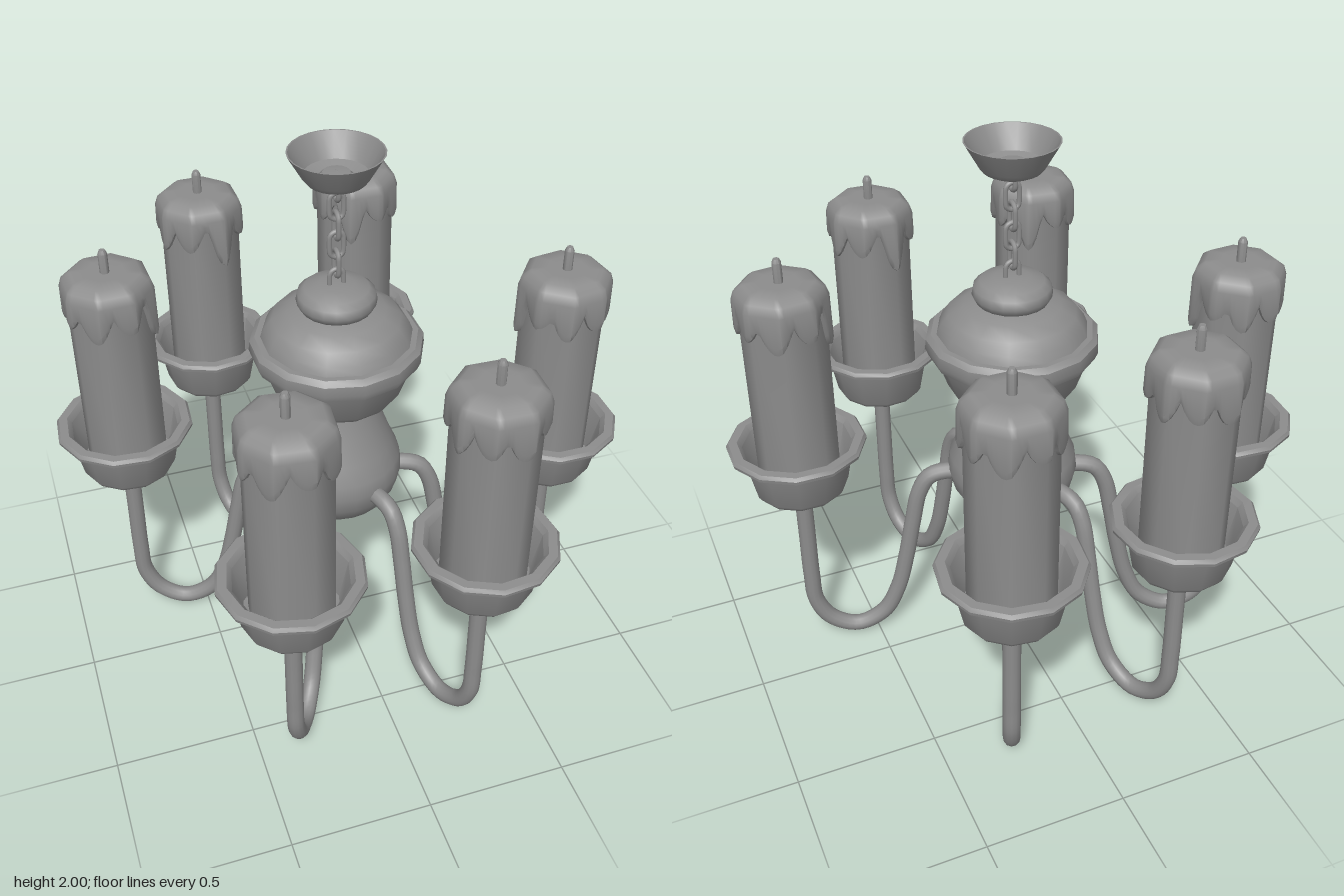
import * as THREE from 'three';
import { toCreasedNormals } from 'three/addons/utils/BufferGeometryUtils.js';

const metal = new THREE.MeshStandardMaterial({ color: 0x8c8c8c, side: THREE.DoubleSide });
metal.name = 'grey';

function part(name, geometry, parent) {
  const mesh = new THREE.Mesh(geometry, metal);
  mesh.name = name;
  parent.add(mesh);
  return mesh;
}

// Turned part: profile of [radius, y], outside going up
function turned(profile, sides, crease = 0.65) {
  const points = profile.map(([r, y]) => new THREE.Vector2(r, y));
  return toCreasedNormals(new THREE.LatheGeometry(points, sides), crease);
}

// Drips round the candle: [angle in degrees, length, half width]
const DRIPS = [
  [-90, 0.15, 20], [-45, 0.07, 24], [-5, 0.1, 22], [38, 0.08, 22],
  [82, 0.1, 24], [128, 0.07, 22], [172, 0.1, 24], [218, 0.08, 22],
];

function dripEdge(degrees) {
  let drop = 0;
  for (const [at, length, width] of DRIPS) {
    const d = Math.abs(((degrees - at + 540) % 360) - 180) / width;
    if (d < 1) drop = Math.max(drop, length * Math.pow(Math.cos(d * Math.PI / 2), 0.8));
  }
  return 1.455 - drop;
}

// Melted wax: an eight-sided cap whose lower edge follows the drips
function waxGeometry() {
  const profile = [[0.136, 0], [0.157, 0.004], [0.163, 0.03], [0.161, 1.5],
    [0.15, 1.532], [0.122, 1.553], [0.07, 1.557], [0, 1.552]];
  const geometry = new THREE.LatheGeometry(profile.map(([r, y]) => new THREE.Vector2(r, y)), 64);
  const pos = geometry.attributes.position;
  for (let i = 0; i < pos.count; i++) {
    const phi = Math.atan2(pos.getX(i), pos.getZ(i));
    const step = Math.PI / 4;
    const within = (((phi % step) + step) % step) - step / 2;
    const f = Math.cos(step / 2) / Math.cos(within);
    const row = i % profile.length;
    if (row < 3) pos.setY(i, dripEdge(THREE.MathUtils.radToDeg(phi)) + profile[row][1]);
    pos.setX(i, pos.getX(i) * f);
    pos.setZ(i, pos.getZ(i) * f);
  }
  return toCreasedNormals(geometry, 0.9);
}

// Closed oval chain link in the xy plane
function linkGeometry() {
  const path = new THREE.CurvePath();
  const points = [];
  for (let i = 0; i < 20; i++) {
    const a = (i / 20) * Math.PI * 2;
    points.push(new THREE.Vector3(0.024 * Math.cos(a), 0.024 * Math.sin(a) + (Math.sin(a) >= 0 ? 0.023 : -0.023), 0));
  }
  return new THREE.TubeGeometry(new THREE.CatmullRomCurve3(points, true), 32, 0.009, 8, true);
}

export function createModel() {
  const root = new THREE.Group();
  root.name = 'chandelier';
  const body = new THREE.Group();
  body.name = 'body';
  body.position.set(-0.01, 0, -0.012);
  root.add(body);

  // Central body
  part('bulb', turned([[0, 0.545], [0.06, 0.55], [0.125, 0.572], [0.185, 0.625], [0.222, 0.69],
    [0.236, 0.755], [0.228, 0.81], [0.2, 0.875], [0.168, 0.96], [0.142, 1.04], [0.13, 1.1]], 24), body);
  part('bowl', turned([[0, 1.075], [0.17, 1.076], [0.205, 1.088], [0.228, 1.115], [0.27, 1.235],
    [0.292, 1.243], [0.303, 1.27], [0.3, 1.305], [0.282, 1.322], [0.262, 1.322], [0.25, 1.352],
    [0.222, 1.39], [0.17, 1.42], [0.115, 1.437], [0, 1.44]], 14), body);
  part('cap', turned([[0.1, 1.425], [0.125, 1.435], [0.138, 1.46], [0.133, 1.488], [0.11, 1.508],
    [0.06, 1.52], [0, 1.523]], 20, 0.9), body);

  // Chain of links turned by a quarter each time
  const link = linkGeometry();
  for (let i = 0; i < 6; i++) {
    const mesh = part('chainLink', link, body);
    mesh.position.y = 1.88 - i * 0.07;
    mesh.rotation.y = i % 2 ? 0 : Math.PI / 2;
  }

  // Ceiling canopy, open at the top
  part('canopy', turned([[0, 1.892], [0.08, 1.893], [0.098, 1.902], [0.112, 1.92], [0.158, 2],
    [0.153, 2], [0.106, 1.922], [0.06, 1.905]], 24), body);
  part('canopyBoss', turned([[0.06, 1.897], [0.058, 1.915], [0.045, 1.93], [0, 1.935]], 16), body);

  // Shared shapes for the arms
  const armPath = new THREE.CatmullRomCurve3([
    [0.15, 0.725], [0.235, 0.738], [0.305, 0.72], [0.345, 0.655], [0.375, 0.52], [0.405, 0.36], [0.445, 0.2],
    [0.505, 0.085], [0.61, 0.031], [0.71, 0.075], [0.762, 0.17], [0.77, 0.3], [0.77, 0.5], [0.77, 0.69],
  ].map(([r, y]) => new THREE.Vector3(r, y, 0)));
  const arm = new THREE.TubeGeometry(armPath, 72, 0.031, 12);
  const cup = turned([[0, 0.67], [0.05, 0.675], [0.11, 0.697], [0.158, 0.727], [0.17, 0.745],
    [0.2, 0.898], [0.23, 0.898], [0.245, 0.906], [0.247, 0.918], [0.238, 0.93], [0.208, 0.931],
    [0.192, 0.912], [0.16, 0.77], [0.12, 0.745], [0, 0.74]], 12);
  const candle = turned([[0.145, 0.73], [0.145, 1.5]], 8, 0.9);
  const wax = waxGeometry();
  const wick = turned([[0.016, 1.54], [0.016, 1.625], [0.01, 1.638], [0, 1.641]], 10);

  // Six arms, spaced a little unevenly
  for (const degrees of [-113.5, -66.8, -160.5, 15.3, 118.9, 69.3]) {
    const group = new THREE.Group();
    group.name = 'candleArm';
    group.rotation.y = -THREE.MathUtils.degToRad(degrees);
    body.add(group);
    part('arm', arm, group);
    const shapes = { cup, candle, wax, wick };
    for (const name in shapes) part(name, shapes[name], group).position.x = 0.77;
  }
  return root;
}
